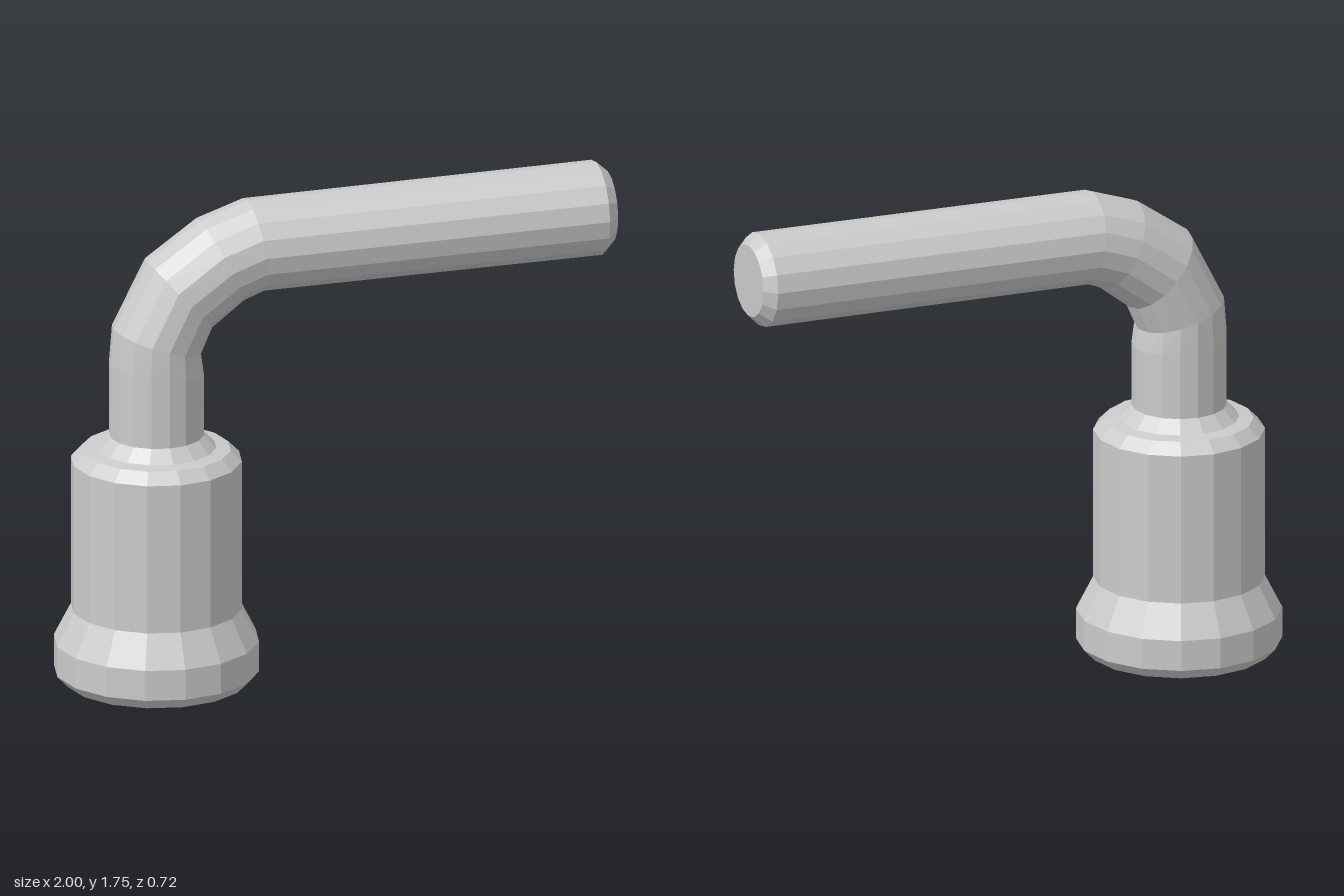
import * as THREE from 'three';

const SIDES = 16;
const AXIS_X = -0.64;
const PIPE_R = 0.166;

// Skin a bent tube through slanted rings: [outerX, outerY, innerX, innerY, halfDepth]
function bentTube(rings) {
  const pos = [], idx = [];
  for (const [ox, oy, ix, iy, r] of rings) {
    for (let i = 0; i <= SIDES; i++) {
      const a = (i / SIDES) * Math.PI * 2, c = Math.cos(a) / 2;
      pos.push((ox + ix) / 2 + (ox - ix) * c, (oy + iy) / 2 + (oy - iy) * c, Math.sin(a) * r);
    }
  }
  const row = SIDES + 1;
  for (let j = 0; j < rings.length - 1; j++) {
    for (let i = 0; i < SIDES; i++) {
      const a = j * row + i, b = a + 1, c = b + row, d = a + row;
      idx.push(a, b, c, a, c, d);
    }
  }
  const geo = new THREE.BufferGeometry();
  geo.setAttribute('position', new THREE.Float32BufferAttribute(pos, 3));
  geo.setIndex(idx);
  geo.computeVertexNormals();
  return geo;
}

export function createModel() {
  const group = new THREE.Group();
  group.name = 'socketWrench';
  const material = new THREE.MeshStandardMaterial({ color: 0xcccccc, flatShading: true });

  const add = (name, geometry) => {
    const mesh = new THREE.Mesh(geometry, material);
    mesh.name = name;
    group.add(mesh);
    return mesh;
  };
  const lathe = (points) =>
    new THREE.LatheGeometry(points.map(([r, y]) => new THREE.Vector2(r, y)), SIDES);

  // Flared body with bevelled foot and shoulder
  add('body', lathe([
    [0, 0], [0.322, 0], [0.36, 0.04], [0.36, 0.15], [0.3, 0.268],
    [0.3, 0.81], [0.26, 0.85], [0.21, 0.857], [0, 0.857],
  ])).position.x = AXIS_X;

  // Sloped collar where the pipe enters the body
  add('collar', lathe([[0.21, 0.857], [PIPE_R, 0.902], [0, 0.902]])).position.x = AXIS_X;

  // Pipe: upright stem, elbow, long arm, bevelled closed end
  add('bentPipe', bentTube([
    [-0.806, 0.88, -0.474, 0.88, PIPE_R],
    [-0.806, 1.17, -0.474, 1.13, PIPE_R],
    [-0.795, 1.3, -0.485, 1.2, PIPE_R],
    [-0.672, 1.54, -0.448, 1.287, PIPE_R],
    [-0.482, 1.672, -0.335, 1.375, PIPE_R],
    [-0.31, 1.73, -0.265, 1.402, PIPE_R],
    [0.957, 1.75, 0.961, 1.416, 0.167],
    [0.998, 1.713, 1.0, 1.455, 0.129],
    [0.999, 1.584, 0.999, 1.584, 0],
  ]));

  return group;
}
